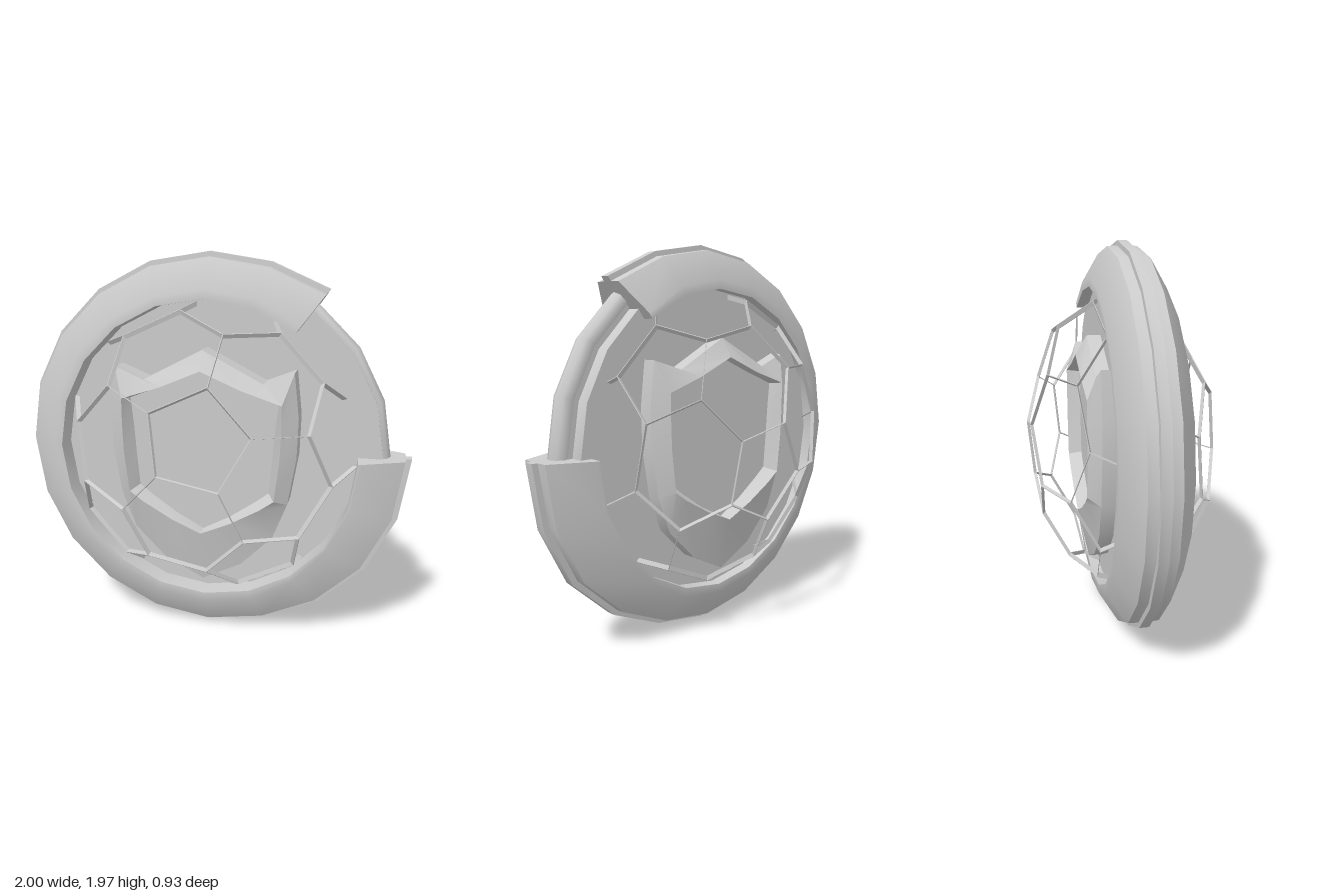
import * as THREE from 'three';
import { mergeVertices, mergeGeometries, toCreasedNormals } from 'three/addons/utils/BufferGeometryUtils.js';

const grey = new THREE.MeshStandardMaterial({ color: 0xcccccc });
const SIDES = 20;

function part(name, geometry, parent) {
  const mesh = new THREE.Mesh(geometry, grey);
  mesh.name = name;
  parent.add(mesh);
  return mesh;
}

// Skins closed cross-section rows, with a fan cap at each end
function loft(rows, crease, capCentres) {
  const pos = [];
  const tri = (...pts) => pts.forEach((p) => pos.push(p.x, p.y, p.z));
  const n = rows[0].length;
  const first = rows[0], last = rows[rows.length - 1];
  for (let j = 0; j < n; j++) {
    const k = (j + 1) % n;
    for (let i = 0; i < rows.length - 1; i++) {
      tri(rows[i][j], rows[i + 1][j], rows[i + 1][k]);
      tri(rows[i][j], rows[i + 1][k], rows[i][k]);
    }
    tri(capCentres[0], first[j], first[k]);
    tri(capCentres[1], last[k], last[j]);
  }
  const g = new THREE.BufferGeometry();
  g.setAttribute('position', new THREE.Float32BufferAttribute(pos, 3));
  return toCreasedNormals(mergeVertices(g), crease);
}

// Broken outer ring with a central keel, open at the upper right; the ends bulge
function rimGeometry() {
  const bulgeAt = (k) => (k === 3 ? 0.5 : THREE.MathUtils.clamp((k - 16) / 2, 0, 1));
  const rows = [], centres = [];
  for (let k = 3; k <= SIDES; k++) {
    const a = (k / SIDES) * Math.PI * 2;
    const t = bulgeAt(k);
    const half = [[0.985, 0.024], [0.96, 0.026], [0.957, 0.075], [0.81 - 0.035 * t, 0.165], [0.765, 0.165], [0.76, 0.04]];
    const profile = [...half, ...half.map(([r, z]) => [r, -z]).reverse()];
    const at = ([r, z]) => {
      const rr = r + 0.03 * t * (r - 0.765) / 0.2;
      return new THREE.Vector3(rr * Math.cos(a), rr * Math.sin(a), z * (1 + 0.07 * t));
    };
    rows.push(profile.map(at));
    centres.push(at([0.85, 0]));
  }
  return loft(rows, 0.8, [centres[0], centres[centres.length - 1]]);
}

// Raised shield: wall, outward slope, ridge and a shallow inset panel
function shieldGeometry() {
  const outer = [[0, 0.525], [0.30, 0.37], [0.45, 0.43], [0.475, 0.21], [0.47, 0.01], [0.43, -0.23], [0.36, -0.41], [0.2, -0.57], [0, -0.67]];
  const ridge = [[0, 0.43], [0.2, 0.345], [0.40, 0.28], [0.40, 0.16], [0.395, 0.01], [0.37, -0.2], [0.3, -0.25], [0.15, -0.335], [0, -0.4]];
  const panel = [[0, 0.428], [0.2, 0.343], [0.375, 0.275], [0.36, 0.13], [0.35, -0.01], [0.335, -0.18], [0.27, -0.23], [0.14, -0.32], [0, -0.395]];
  const loop = (pts, z) => [...pts, ...pts.slice(1, -1).reverse().map(([x, y]) => [-x, y])]
    .map(([x, y]) => new THREE.Vector3(x, y, z));
  const rows = [loop(outer, 0.03), loop(outer, 0.18), loop(ridge, 0.238), loop(panel, 0.17)];
  return loft(rows, 0.5, [new THREE.Vector3(0, 0, 0.03), new THREE.Vector3(0, 0, 0.17)]);
}

// Thin struts along the edges of a truncated icosahedron
function cageGeometry(radius) {
  const dirs = [new THREE.Vector3(0, 0, 1)];
  for (let k = 0; k < 5; k++) {
    const a = THREE.MathUtils.degToRad(6.9 + 72 * k);
    dirs.push(new THREE.Vector3(0.8944 * Math.cos(a), 0.8944 * Math.sin(a), 0.4472));
  }
  dirs.push(...dirs.map((d) => d.clone().negate()));
  const tilt = new THREE.Quaternion().setFromUnitVectors(
    new THREE.Vector3(0, 0, 1), new THREE.Vector3(0.036, 0.174, 0.984).normalize());
  dirs.forEach((d) => d.applyQuaternion(tilt));

  const near = (a, b) => a !== b && a.dot(b) > 0.4;
  const cut = (a, b) => a.clone().lerp(b, 1 / 3).setLength(radius);
  const struts = [];
  const strut = (p, q) => {
    const along = q.clone().sub(p);
    const g = new THREE.BoxGeometry(along.length() + 0.003, 0.004, 0.024);
    const mid = p.clone().add(q).multiplyScalar(0.5);
    along.normalize();
    const out = mid.clone().normalize();
    const m = new THREE.Matrix4().makeBasis(along, out.clone().cross(along), out).setPosition(mid);
    struts.push(g.applyMatrix4(m));
  };
  dirs.forEach((a, i) => dirs.forEach((b, j) => {
    if (!near(a, b)) return;
    if (i < j) strut(cut(a, b), cut(b, a));
    dirs.forEach((c, k) => {
      if (k > j && near(a, c) && near(b, c)) strut(cut(a, b), cut(a, c));
    });
  }));
  return mergeGeometries(struts);
}

export function createModel() {
  const model = new THREE.Group();
  model.name = 'cagedShieldDisc';

  const disc = new THREE.Group();
  disc.name = 'disc';
  disc.position.set(-0.016, 0.988, 0.018);
  model.add(disc);

  // Core plate: wide in front, stepped at the back
  const profile = [[0, -0.11], [0.82, -0.11], [0.82, -0.045], [0.88, -0.045], [0.88, 0.06], [0, 0.06]]
    .map(([r, y]) => new THREE.Vector2(r, y));
  const plate = new THREE.LatheGeometry(profile, SIDES).rotateX(Math.PI / 2);
  part('corePlate', toCreasedNormals(plate, 0.5), disc);

  // Inner bead showing through the gap in the rim
  part('innerBead', new THREE.TorusGeometry(0.863, 0.052, 8, SIDES), disc);
  part('brokenRim', rimGeometry(), disc);

  // Shield on both faces
  const shield = shieldGeometry();
  part('frontShield', shield, disc);
  part('backShield', shield, disc).rotation.y = Math.PI;

  // Flattened wire cage
  const cage = part('wireCage', cageGeometry(0.763), model);
  cage.position.set(-0.016, 0.99, 0);
  cage.scale.z = 0.615;

  return model;
}
